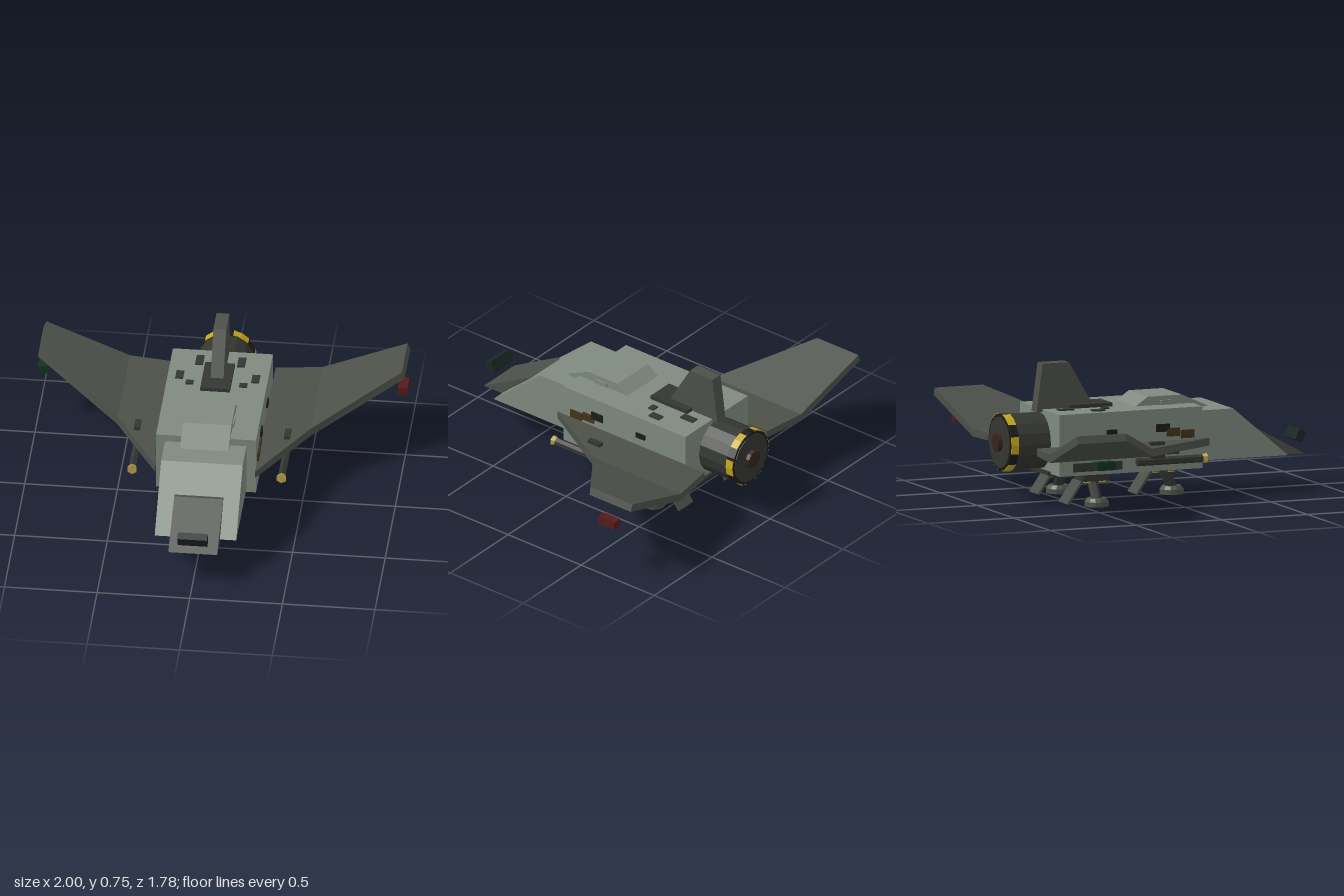
import * as THREE from 'three';

const mat = (color) => new THREE.MeshStandardMaterial({ color, flatShading: true });

export function createModel() {
  const model = new THREE.Group();
  const M = {
    hull: mat(0x7f8a7f), wing: mat(0x4c5049), dark: mat(0x343632), black: mat(0x1a1b19),
    gold: mat(0xb8a04a), yellow: mat(0xc4a51c), brown: mat(0x44351c), nozzle: mat(0x35241a),
    sensor: mat(0x1a2624), red: mat(0x551a1a), green: mat(0x123320),
  };
  const add = (name, geo, m) => {
    const mesh = new THREE.Mesh(geo, m);
    mesh.name = name;
    model.add(mesh);
    return mesh;
  };
  const box = (name, m, w, h, d, x, y, z, rx = 0) => {
    const b = add(name, new THREE.BoxGeometry(w, h, d), m);
    b.position.set(x, y, z);
    b.rotation.x = rx;
    return b;
  };
  // side profile of [z, y] points, given a width across x
  const profile = (name, m, pts, w) => {
    const shape = new THREE.Shape(pts.map(([z, y]) => new THREE.Vector2(z, y)));
    const geo = new THREE.ExtrudeGeometry(shape, { depth: w, bevelEnabled: false });
    return add(name, geo.translate(0, 0, -w / 2).rotateY(-Math.PI / 2), m);
  };
  // cylinder along z, from z0 (front) to z1 (back)
  const tubeZ = (name, m, rFront, rBack, z0, z1, x, y, sides, start = 0, arc = Math.PI * 2) => {
    const geo = new THREE.CylinderGeometry(rFront, rBack, z0 - z1, sides, 1, false, start, arc);
    geo.rotateX(Math.PI / 2);
    const t = add(name, geo, m);
    t.position.set(x, y, (z0 + z1) / 2);
    return t;
  };
  // cylinder between two points
  const rod = (name, m, r, a, b, sides = 8) => {
    const p = new THREE.Vector3(...a), q = new THREE.Vector3(...b);
    const t = add(name, new THREE.CylinderGeometry(r, r, p.distanceTo(q), sides), m);
    t.position.copy(p).add(q).multiplyScalar(0.5);
    t.quaternion.setFromUnitVectors(new THREE.Vector3(0, 1, 0), q.sub(p).normalize());
  };

  // fuselage, nose, canopy
  box('hull', M.hull, 0.54, 0.335, 0.835, 0, 0.3375, -0.2175);
  profile('nose', M.hull, [[0.72, 0.203], [0.4, 0.475], [0.215, 0.475], [0.18, 0.4], [0.18, 0.203]], 0.44);
  profile('canopy', M.hull, [[0.29, 0.485], [0.14, 0.553], [-0.06, 0.553], [-0.13, 0.505], [-0.13, 0.475], [0.2, 0.475]], 0.262);
  profile('snout', M.wing, [[0.855, 0.192], [0.56, 0.355], [0.53, 0.355], [0.46, 0.192]], 0.264);
  box('sensor', M.sensor, 0.16, 0.064, 0.042, 0, 0.282, 0.854, 0.46);

  // tail fin on its plate
  box('finPlate', M.dark, 0.16, 0.03, 0.25, 0, 0.51, -0.37);
  profile('tailFin', M.wing, [[-0.34, 0.515], [-0.48, 0.752], [-0.633, 0.752], [-0.668, 0.49], [-0.34, 0.49]], 0.07);

  // engine with striped collar and nozzle
  const ey = 0.335;
  tubeZ('engine', M.dark, 0.153, 0.153, -0.6, -0.83, 0, ey, 16);
  tubeZ('engineCollar', M.black, 0.155, 0.155, -0.82, -0.868, 0, ey, 16);
  for (let i = 0; i < 6; i++) {
    const a = Math.PI / 2 + i * Math.PI / 3 - 0.3;
    tubeZ('collarStripe', M.yellow, 0.159, 0.159, -0.822, -0.866, 0, ey, 2, a, 0.6);
  }
  tubeZ('engineBackplate', M.dark, 0.14, 0.14, -0.86, -0.872, 0, ey, 16);
  tubeZ('nozzle', M.nozzle, 0.05, 0.05, -0.86, -0.895, 0, ey, 10);

  // cranked wing lofted through three sections
  const wing = (s) => {
    const sections = [ // x top, x bottom, front z, back z, bottom y, top y
      [0.27, 0.27, 0.24, -0.765, 0.29, 0.332],
      [0.52, 0.525, -0.2, -0.8, 0.29, 0.332],
      [0.975, 0.99, -0.55, -0.832, 0.457, 0.497],
    ];
    const pos = [], idx = [];
    const tri = (a, b, c) => (s > 0 ? idx.push(a, b, c) : idx.push(a, c, b));
    for (const [xt, xb, f, b, y0, y1] of sections)
      pos.push(s * xt, y1, f, s * xt, y1, b, s * xb, y0, b, s * xb, y0, f);
    for (let i = 0; i < 2; i++) for (let j = 0; j < 4; j++) {
      const a = i * 4 + j, b = i * 4 + (j + 1) % 4;
      tri(a, a + 4, b + 4);
      tri(a, b + 4, b);
    }
    tri(0, 1, 2); tri(0, 2, 3);
    tri(8, 10, 9); tri(8, 11, 10);
    let geo = new THREE.BufferGeometry();
    geo.setAttribute('position', new THREE.Float32BufferAttribute(pos, 3));
    geo.setIndex(idx);
    geo = geo.toNonIndexed();
    geo.computeVertexNormals();
    add(s > 0 ? 'leftWing' : 'rightWing', geo, M.wing);
  };

  // landing gear: mount, leg, foot, open door
  const gear = (x, footX, z, footZ) => {
    box('gearMount', M.dark, 0.135, 0.035, 0.15, x, 0.152, z);
    for (const d of [-0.045, 0.045]) for (const e of [-0.045, 0.045])
      box('gearMarking', M.yellow, 0.025, 0.016, 0.035, x + e, 0.134, z + d);
    rod('gearLeg', M.dark, 0.03, [x, 0.15, z + (footZ - z) * 0.2], [footX, 0.035, footZ]);
    const foot = add('gearFoot', new THREE.CylinderGeometry(0.052, 0.066, 0.02, 12), M.wing);
    foot.position.set(footX, 0.035, footZ);
    const pad = add('gearPad', new THREE.CylinderGeometry(0.066, 0.066, 0.026, 12), M.wing);
    pad.position.set(footX, 0.013, footZ);
    box('gearDoor', M.wing, 0.12, 0.145, 0.012, x, 0.074, z - 0.12, 0.61);
  };
  gear(0, 0, 0.068, 0.135);

  for (const s of [1, -1]) {
    wing(s);
    box('wingtipLight', s > 0 ? M.red : M.green, 0.052, 0.045, 0.11, s * 0.972, 0.328, -0.67);
    gear(s * 0.2, s * 0.265, -0.42, -0.415);

    // gun pod under the wing
    box('podPylon', M.dark, 0.032, 0.09, 0.08, s * 0.405, 0.305, -0.125);
    tubeZ('pod', M.dark, 0.022, 0.022, 0.14, -0.24, s * 0.403, 0.245, 6);
    tubeZ('podTip', M.gold, 0.029, 0.018, 0.165, 0.13, s * 0.403, 0.245, 6);

    // roof hatches
    for (const [x, z, d] of [[0.113, -0.533, 0.085], [0.205, -0.382, 0.07], [0.145, -0.315, 0.035]])
      box('roofHatch', M.dark, 0.042, 0.014, d, s * x, 0.506, z);
    box('canopyLatch', M.hull, 0.012, 0.03, 0.08, s * 0.133, 0.515, 0.05);

    // side panels
    for (const [m, z, y, d, h] of [
      [M.brown, 0.11, 0.362, 0.08, 0.045], [M.brown, 0.026, 0.376, 0.075, 0.045],
      [M.black, -0.033, 0.402, 0.078, 0.042], [M.black, -0.33, 0.395, 0.06, 0.028],
      [M.dark, -0.415, 0.214, 0.285, 0.046], [M.dark, 0.01, 0.272, 0.1, 0.03],
    ]) box('sidePanel', m, 0.016, h, d, s * 0.271, y, z);

    // belly blocks
    for (const z of [-0.52, -0.595])
      box('bellyBlock', M.dark, 0.05, 0.03, 0.04, s * 0.1, 0.157, z);
  }
  box('bellyPlate', M.dark, 0.3, 0.02, 0.2, 0, 0.172, -0.55);
  return model;
}
